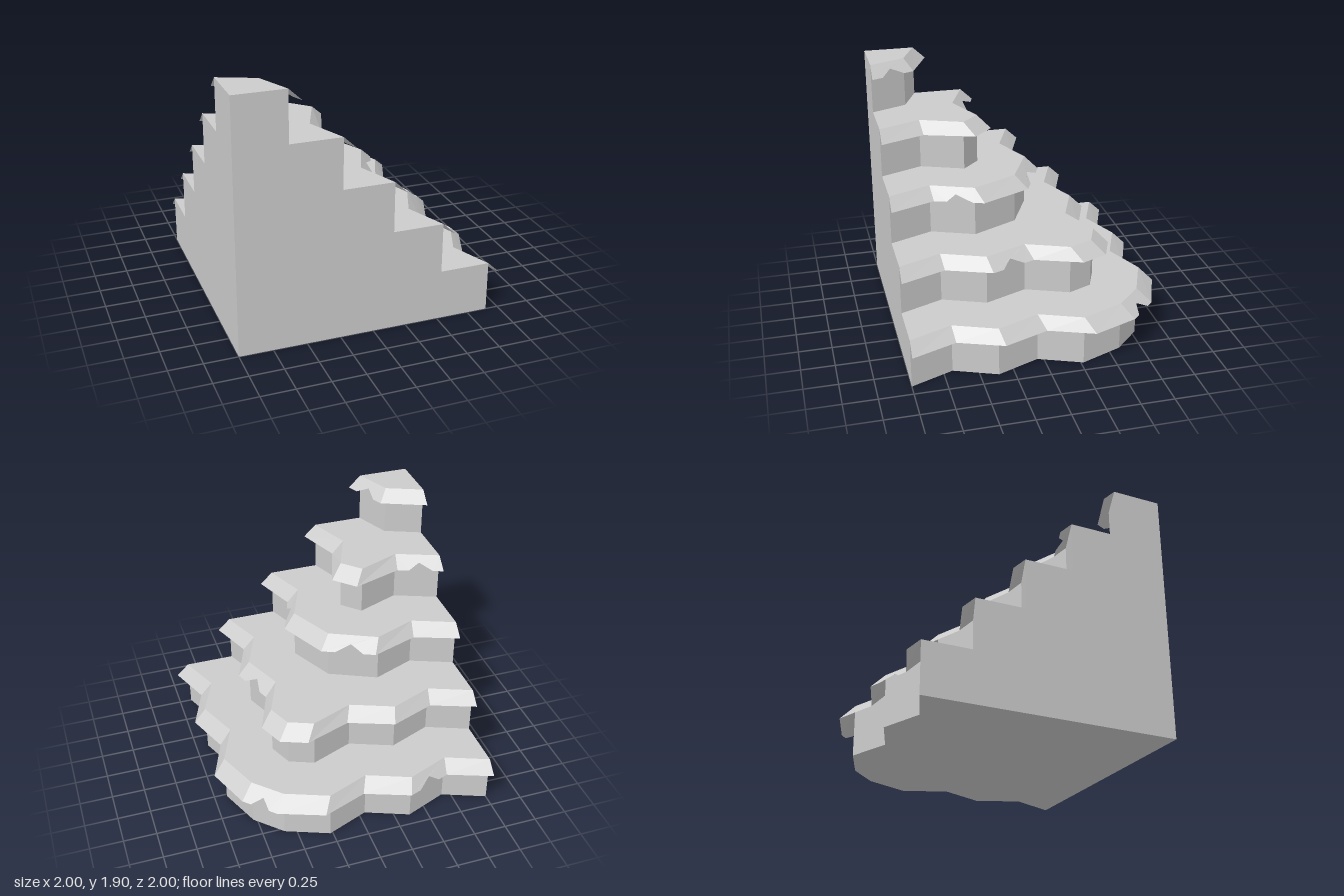
import * as THREE from 'three';

const STEP = 0.381;  // height of one tier
const DROP = 0.09;   // how far the lip hangs down
const DIP = 0.128;   // depth of the zigzag

// points: zigzag points along one side; shoulder: x of the last of them on the lip;
// rimCorner, lipCorner: extra point on the diagonal; chips: broken lip segments
const TIERS = [
  { points: 6, shoulder: 0.667, chips: [1, 5] },
  { points: 5, shoulder: 0.345, rimCorner: 0.45, lipCorner: 0.54, chips: [7] },
  { points: 3, shoulder: -0.31, rimCorner: -0.02, lipCorner: 0.065, chips: [2, 4] },
  { points: 3, shoulder: -0.29, chips: [0] },
  { points: 1, shoulder: -1, rimCorner: -0.73, lipCorner: -0.665, chips: [1] },
];

const rock = new THREE.MeshStandardMaterial({ color: 0xcccccc, flatShading: true });
const thinRock = new THREE.MeshStandardMaterial({ color: 0xcccccc, flatShading: true, side: THREE.DoubleSide });

// Zigzag along the back, mirrored across the diagonal to run down the side
function zigzag(points, reach, shoulder, corner, y) {
  const pitch = 0.3175 + (reach.lip ? 0.0158 : 0);
  const back = [];
  for (let k = 0; k < points; k++) {
    const x = k === points - 1 ? shoulder : -1 + k * pitch;
    back.push(new THREE.Vector3(x, y, (k % 2) * DIP - reach.size));
  }
  const side = back.map((p) => new THREE.Vector3(-p.z, y, -p.x)).reverse();
  const middle = corner === undefined ? [] : [new THREE.Vector3(corner, y, -corner)];
  return [...back, ...middle, ...side];
}

const plan = (p) => new THREE.Vector2(p.x, -p.z);

// Solid slab: the zigzag rim closed by the two straight outer sides
function slabGeometry(rim) {
  const outline = [...rim.map(plan), new THREE.Vector2(-1, -1)];
  return new THREE.ExtrudeGeometry(new THREE.Shape(outline), { depth: STEP, bevelEnabled: false })
    .rotateX(-Math.PI / 2);
}

// Sloping overhang: one facet per rim segment, some with a chip in the lower edge
function lipGeometry(rim, lip, chips) {
  const corners = [];
  for (let i = 0; i < rim.length - 1; i++) {
    const facet = [rim[i], rim[i + 1], lip[i + 1]];
    if (chips.includes(i)) {
      const along = (edge, t) => edge[i].clone().lerp(edge[i + 1], t);
      facet.push(along(lip, 0.75), along(lip, 0.5).lerp(along(rim, 0.5), 0.5), along(lip, 0.23));
    }
    facet.push(lip[i]);
    for (const face of THREE.ShapeUtils.triangulateShape(facet.map(plan), [])) {
      corners.push(...face.map((k) => facet[k]));
    }
  }
  const geometry = new THREE.BufferGeometry().setFromPoints(corners);
  geometry.computeVertexNormals();
  return geometry;
}

export function createModel() {
  const model = new THREE.Group();
  model.name = 'terracedCliffCorner';
  TIERS.forEach(({ points, shoulder, rimCorner, lipCorner, chips }, i) => {
    const top = (i + 1) * STEP;
    const rimShoulder = -1 + (points - 1) * 0.3175;
    const rim = zigzag(points, { size: 0.905 - 0.38 * i }, rimShoulder, rimCorner, top);
    const lip = zigzag(points, { size: 1 - 0.38 * i, lip: true }, shoulder, lipCorner, top - DROP);

    const slab = new THREE.Mesh(slabGeometry(rim), rock);
    slab.name = 'slab';
    slab.position.y = i * STEP;

    const overhang = new THREE.Mesh(lipGeometry(rim, lip, chips), thinRock);
    overhang.name = 'overhangingLip';

    const tier = new THREE.Group();
    tier.name = `tier${i + 1}`;
    tier.add(slab, overhang);
    model.add(tier);
  });
  return model;
}
